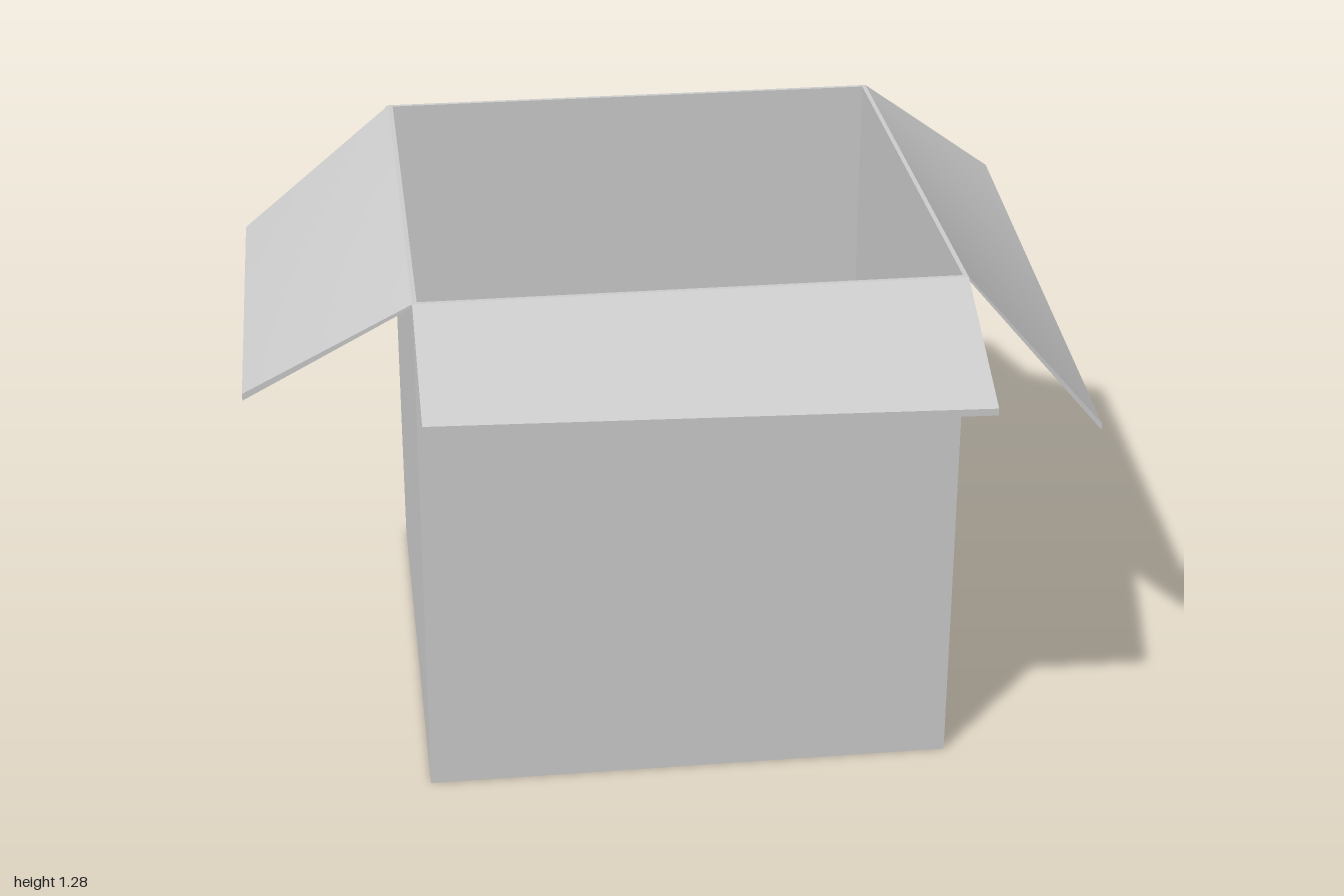
import * as THREE from 'three';

const material = new THREE.MeshStandardMaterial({ color: 0xcccccc });
const X0 = -0.61, X1 = 0.66, Z0 = -0.657, Z1 = 0.613;  // outer walls
const TOP = 1.278, WALL = 0.011;

function rectangle(Path, inset) {
  const path = new Path();
  path.moveTo(X0 + inset, -Z1 + inset);
  path.lineTo(X1 - inset, -Z1 + inset);
  path.lineTo(X1 - inset, -Z0 - inset);
  path.lineTo(X0 + inset, -Z0 - inset);
  path.closePath();
  return path;
}

function addMesh(group, geometry, name) {
  const mesh = new THREE.Mesh(geometry, material);
  mesh.name = name;
  group.add(mesh);
  return mesh;
}

// Twisted flap: hinge runs from a to b, free edge from c to d, all on the upper face.
// Seen from outside, a and c are on the left.
function flapGeometry(a, b, c, d) {
  const geometry = new THREE.BoxGeometry(1, 1, 1, 12, 1, 8);
  const pos = geometry.attributes.position;
  const hinge = new THREE.Vector3(), edge = new THREE.Vector3();
  for (let i = 0; i < pos.count; i++) {
    const u = pos.getX(i) + 0.5, v = pos.getZ(i) + 0.5;
    hinge.lerpVectors(a, b, u);
    edge.lerpVectors(c, d, u);
    hinge.lerp(edge, v);
    // slightly thicker toward the free edge
    if (pos.getY(i) < 0) hinge.y -= 0.008 + 0.009 * v;
    pos.setXYZ(i, hinge.x, hinge.y, hinge.z);
  }
  geometry.computeVertexNormals();
  return geometry;
}

export function createModel() {
  const group = new THREE.Group();
  group.name = 'openBox';

  // Four thin walls as one square tube
  const outline = rectangle(THREE.Shape, 0);
  outline.holes.push(rectangle(THREE.Path, WALL));
  const walls = new THREE.ExtrudeGeometry(outline, { depth: TOP, bevelEnabled: false });
  walls.rotateX(-Math.PI / 2);
  addMesh(group, walls, 'walls');

  // Floor between the walls
  const floor = new THREE.BoxGeometry(X1 - X0 - 2 * WALL, WALL, Z1 - Z0 - 2 * WALL);
  addMesh(group, floor, 'floor').position.set((X0 + X1) / 2, WALL / 2, (Z0 + Z1) / 2);

  // Folded-out flaps: hinge ends, outward reach and heights of the two free corners
  const flaps = [
    ['frontFlap', [X0, Z1], [X1, Z1], [0, 0.96 - Z1], 1.145, 1.113],
    ['leftFlap', [X1, Z1], [X1, Z0], [1 - X1, 0], 0.882, 1.033],
    ['backFlap', [X1, Z0], [X0, Z0], [0, -0.96 - Z0], 1.16, 1.16],
    ['rightFlap', [X0, Z0], [X0, Z1], [-1 - X0, 0], 0.952, 1.078],
  ];
  for (const [name, p, q, out, yP, yQ] of flaps) {
    addMesh(group, flapGeometry(
      new THREE.Vector3(p[0], TOP, p[1]),
      new THREE.Vector3(q[0], TOP, q[1]),
      new THREE.Vector3(p[0] + out[0], yP, p[1] + out[1]),
      new THREE.Vector3(q[0] + out[0], yQ, q[1] + out[1])
    ), name);
  }
  return group;
}
